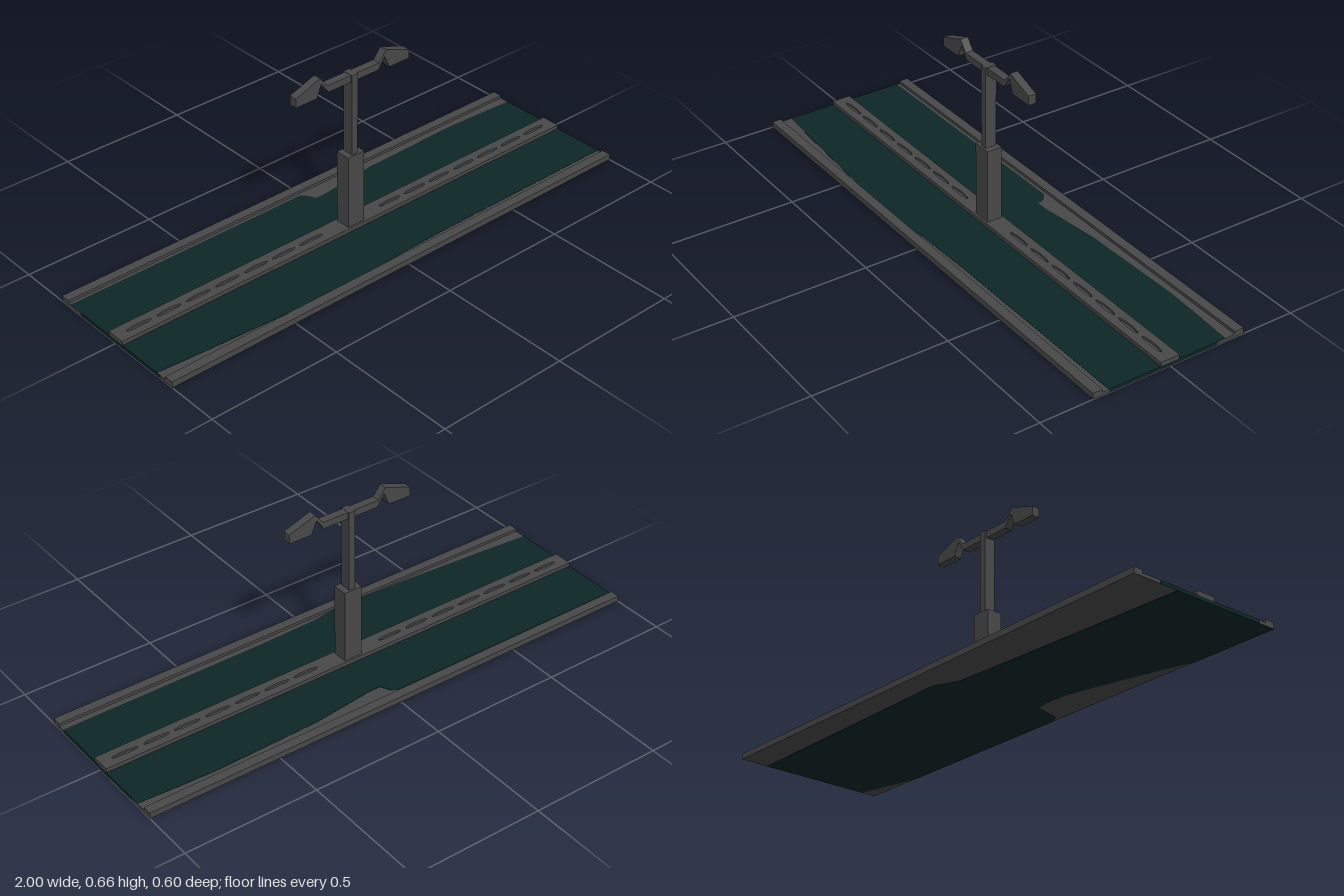
import * as THREE from 'three';

export function createModel() {
  const model = new THREE.Group();
  model.name = 'roadSection';
  const concrete = new THREE.MeshStandardMaterial({ color: 0x484848 });
  concrete.name = 'concreteGrey';
  const asphalt = new THREE.MeshStandardMaterial({ color: 0x0e2626 });
  asphalt.name = 'darkTealAsphalt';

  function add(name, geometry, material) {
    const mesh = new THREE.Mesh(geometry, material);
    mesh.name = name;
    model.add(mesh);
    return mesh;
  }
  // Box given by its centre in x and z, its width, depth and its y range
  function box(name, material, w, d, y0, y1, x = 0, z = 0) {
    const mesh = add(name, new THREE.BoxGeometry(w, y1 - y0, d), material);
    mesh.position.set(x, (y0 + y1) / 2, z);
    return mesh;
  }
  // Extrudes a plan outline drawn in (x, -z) upwards from y0 to y1
  function plan(name, material, shape, y0, y1) {
    const g = new THREE.ExtrudeGeometry(shape, { depth: y1 - y0, bevelEnabled: false, curveSegments: 10 });
    g.rotateX(-Math.PI / 2);
    g.translate(0, y0, 0);
    return add(name, g, material);
  }
  const outline = (points) => new THREE.Shape(points.map(([x, z]) => new THREE.Vector2(x, -z)));

  // Slab with raised kerbs on both long sides
  box('slab', concrete, 2, 0.6, 0.001, 0.012);
  for (const s of [1, -1]) box('kerb', concrete, 2, 0.036, 0.001, 0.023, 0, s * 0.282);

  // Asphalt surface with uneven borders
  plan('roadSurface', asphalt, outline([
    [-1, 0.22], [-0.8, 0.235], [-0.45, 0.256], [-0.25, 0.264], [-0.12, 0.262], [-0.04, 0.25], [0.2, 0.243], [1, 0.24],
    [1, -0.225], [0.85, -0.234], [0.7, -0.24], [0.5, -0.235], [0.3, -0.23], [0.15, -0.213], [0.06, -0.202],
    [0.015, -0.202], [0, -0.235], [-0.02, -0.252], [-1, -0.252],
  ]), 0.012, 0.013);

  // Underside with grey patches left along the edges
  plan('roadUnderside', asphalt, outline([
    [-1, 0.3], [-0.66, 0.3], [-0.6, 0.278], [-0.4, 0.225], [-0.2, 0.175], [-0.1, 0.172], [-0.05, 0.184],
    [-0.03, 0.28], [0, 0.3], [0.75, 0.3], [1, 0.24],
    [1, -0.19], [0.5, -0.2], [0.03, -0.21], [-0.06, -0.17], [-0.3, -0.155], [-1, -0.12],
  ]), 0, 0.001);

  // Asphalt showing at the two ends
  for (const s of [1, -1]) box('roadEnd', asphalt, 0.001, 0.43, 0.0005, 0.0125, s * 0.9998, 0.022);

  // Central divider with a row of oval recesses
  box('dividerBase', concrete, 2, 0.074, 0.012, 0.02);
  const divider = outline([[-1, 0.037], [1, 0.037], [1, -0.037], [-1, -0.037]]);
  for (let i = 0; i < 16; i++) {
    const x = (i - 7.5) * 0.121;
    if (Math.abs(x) < 0.1) continue;
    const hole = new THREE.Path();
    hole.absellipse(x, 0, 0.05, 0.008, 0, Math.PI * 2, true);
    divider.holes.push(hole);
  }
  plan('divider', concrete, divider, 0.02, 0.028);

  // Lamp post in two stages
  box('postBase', concrete, 0.072, 0.058, 0.028, 0.311);
  box('post', concrete, 0.025, 0.044, 0.311, 0.62);

  // Crossbar with cranked arms and a lamp head at each end
  const half = [[0.11, 0.593], [0.14, 0.635], [0.16, 0.587], [0.25, 0.587], [0.25, 0.621], [0.145, 0.658], [0.115, 0.619]];
  const mirrored = half.map(([x, y]) => [-x, y]).reverse();
  const profile = new THREE.Shape([...half, ...mirrored].map(([x, y]) => new THREE.Vector2(x, y)));
  const arms = new THREE.ExtrudeGeometry(profile, { depth: 0.03, bevelEnabled: false });
  arms.translate(0, 0, -0.015);
  add('lampArms', arms, concrete);

  return model;
}
